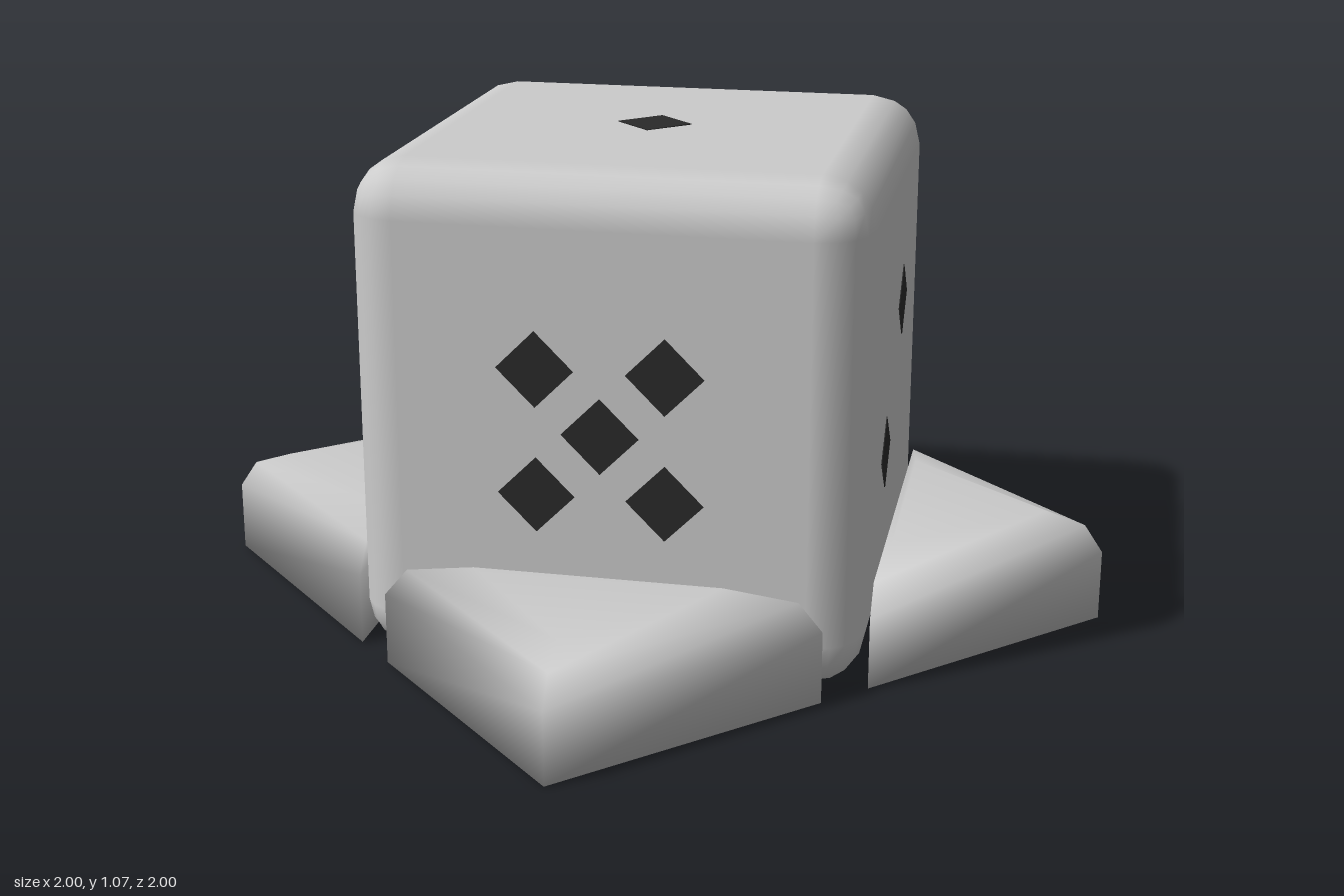
import * as THREE from 'three';
import { RoundedBoxGeometry } from 'three/addons/geometries/RoundedBoxGeometry.js';

const SIZE = 1.065;
const HALF = SIZE / 2;
const P = 0.133; // pip spacing

// Triangular foot with a softened top, lofted from [y, tip z, half width, inner z]
function footGeometry() {
  const rings = [
    [0, 1, 0.46, 0.545],
    [0.155, 1, 0.46, 0.545],
    [0.215, 0.96, 0.41, 0.545],
    [0.242, 0.875, 0.26, 0.565],
  ];
  const positions = [];
  const index = [];
  for (const [y, tip, half, inner] of rings) {
    positions.push(0, y, tip, half, y, inner, -half, y, inner);
  }
  for (let r = 0; r < rings.length - 1; r++) {
    for (let i = 0; i < 3; i++) {
      const a = r * 3 + i;
      const b = r * 3 + (i + 1) % 3;
      index.push(a, b, b + 3, a, b + 3, a + 3);
    }
  }
  const top = (rings.length - 1) * 3;
  index.push(top, top + 1, top + 2, 0, 2, 1);
  const geometry = new THREE.BufferGeometry();
  geometry.setAttribute('position', new THREE.Float32BufferAttribute(positions, 3));
  geometry.setIndex(index);
  geometry.computeVertexNormals();
  return geometry;
}

export function createModel() {
  const model = new THREE.Group();
  model.name = 'diceOnFeet';
  const grey = new THREE.MeshStandardMaterial({ color: 0xcccccc });
  const dark = new THREE.MeshStandardMaterial({ color: 0x2a2a2a });

  // Rounded cube
  const cube = new THREE.Mesh(new RoundedBoxGeometry(SIZE, SIZE, SIZE, 2, 0.11), grey);
  cube.name = 'cube';
  cube.position.y = HALF;
  model.add(cube);

  // Diamond pips; each face is laid out on a top face, then turned into place
  const pipGeometry = new THREE.CylinderGeometry(0.08, 0.08, 0.006, 4);
  const corners = [[-P, -P], [P, P], [-P, P], [P, -P]];
  const faces = [
    { name: 'topPips', turn: [0, 0, 0], pips: [[0, 0]] },
    { name: 'frontPips', turn: [Math.PI / 2, 0, 0], pips: [[0, 0], ...corners] },
    { name: 'leftPips', turn: [0, 0, -Math.PI / 2], pips: corners.slice(0, 2) },
    { name: 'rightPips', turn: [0, 0, Math.PI / 2], pips: [[0, 0], ...corners.slice(0, 2)] },
    { name: 'bottomPips', turn: [Math.PI, 0, 0], pips: corners },
  ];
  for (const { name, turn, pips } of faces) {
    const face = new THREE.Group();
    face.name = name;
    face.position.y = HALF;
    face.rotation.set(...turn);
    for (const [u, v] of pips) {
      const pip = new THREE.Mesh(pipGeometry, dark);
      pip.name = 'pip';
      pip.position.set(u, HALF - 0.001, v);
      face.add(pip);
    }
    model.add(face);
  }

  // One triangular foot against each side
  const foot = footGeometry();
  ['frontFoot', 'leftFoot', 'backFoot', 'rightFoot'].forEach((name, i) => {
    const mesh = new THREE.Mesh(foot, grey);
    mesh.name = name;
    mesh.rotation.y = i * Math.PI / 2;
    model.add(mesh);
  });

  return model;
}
